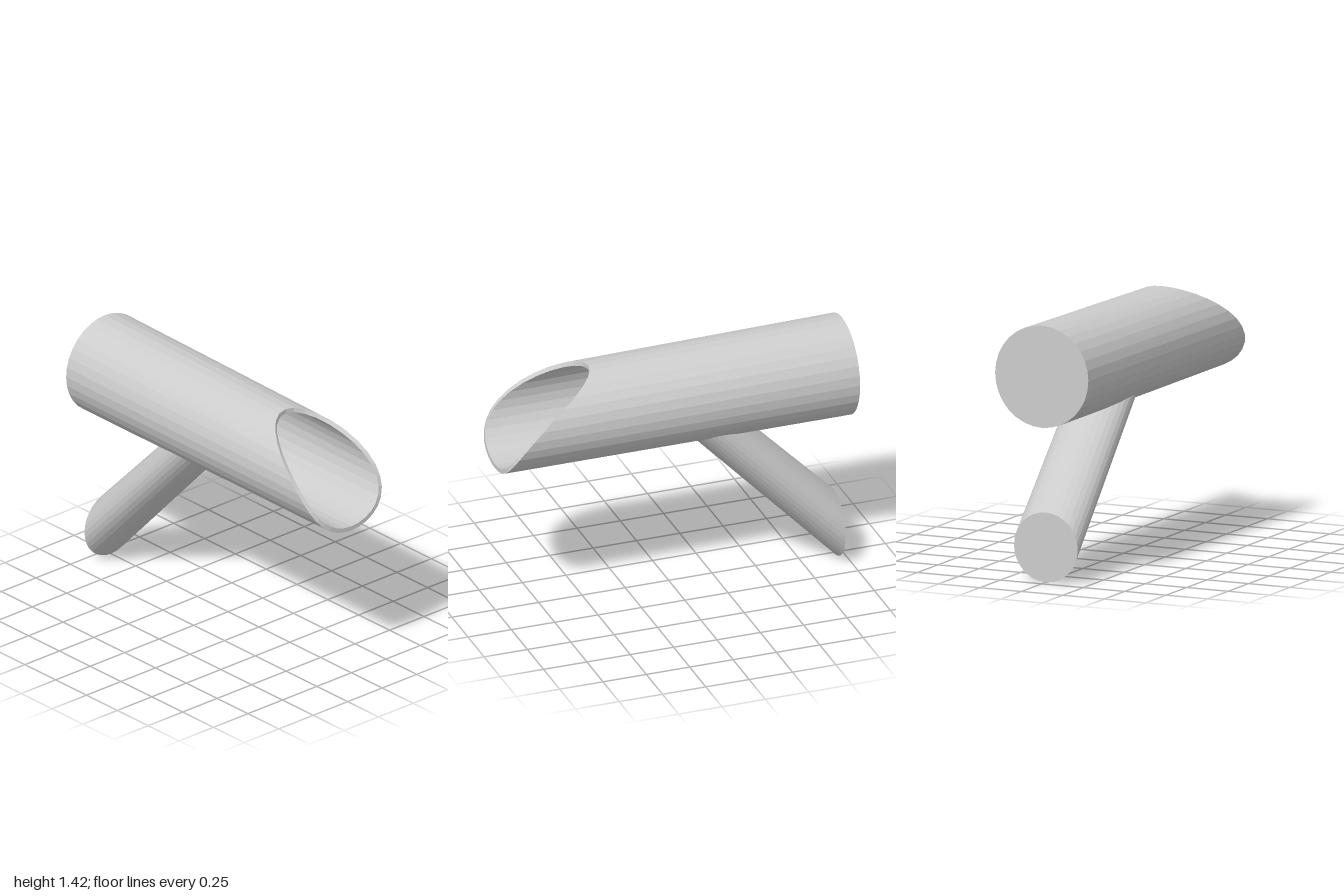
import * as THREE from 'three';

const SIDES = 32;

// Ring of points; fn(cos, sin) gives each [x, y, z]
const ring = (fn) => Array.from({ length: SIDES }, (_, i) => {
  const a = (i / SIDES) * Math.PI * 2;
  return fn(Math.cos(a), Math.sin(a));
});

// Skin consecutive rings with flat facets (a ring shrunk to a point makes a cap)
function loft(rings) {
  const pos = [];
  const same = (p, q) => p.every((v, k) => Math.abs(v - q[k]) < 1e-6);
  const tri = (a, b, c) => {
    if (!same(a, b) && !same(b, c) && !same(a, c)) pos.push(...a, ...b, ...c);
  };
  for (let r = 0; r < rings.length - 1; r++) {
    for (let i = 0; i < SIDES; i++) {
      const j = (i + 1) % SIDES;
      const a = rings[r][i], b = rings[r][j], c = rings[r + 1][j], d = rings[r + 1][i];
      tri(a, b, c);
      tri(a, c, d);
    }
  }
  const geo = new THREE.BufferGeometry();
  geo.setAttribute('position', new THREE.Float32BufferAttribute(pos, 3));
  geo.computeVertexNormals();
  return geo;
}

export function createModel() {
  const group = new THREE.Group();
  const grey = new THREE.MeshStandardMaterial({ color: 0xcccccc });
  grey.name = 'lightGrey';
  const add = (name, geo) => {
    const mesh = new THREE.Mesh(geo, grey);
    mesh.name = name;
    group.add(mesh);
  };

  // Hollow spout: closed at the back, mouth swept back along a curve
  const backY = 1.144, mouthY = 1.13, wall = 0.025;
  const back = (r, z) => ring((c, s) => [r * c, backY + r * s, z]);
  const mouth = (inset) => ring((c, s) => [
    (0.281 - inset) * c,
    mouthY + (0.267 - inset) * s,
    1 - 0.535 * Math.pow((s + 1) / 2, 2.15),
  ]);
  add('spout', loft([
    back(0, -1), back(0.281, -1),
    mouth(0), mouth(wall),
    back(0.281 - wall, -1 + wall), back(0, -1 + wall),
  ]));

  // Slanted branch: upright round end, trimmed to sit inside the spout wall
  const endY = 0.197, endZ = -0.95, endR = 0.192;
  const topY = 1.042, topZ = -0.13, topR = 0.178;
  const branchEnd = (r) => ring((c, s) => [r * c, endY + r * s, endZ]);
  const joint = ring((c, s) => {
    const x = topR * c;
    const hitY = 1.14 - Math.sqrt(0.268 ** 2 - x * x);
    const y0 = endY + endR * s, y1 = topY + topR * s;
    const t = (hitY - y0) / (y1 - y0);
    return [THREE.MathUtils.lerp(endR, topR, t) * c, hitY, THREE.MathUtils.lerp(endZ, topZ, t)];
  });
  add('branch', loft([branchEnd(0), branchEnd(endR), joint]));

  return group;
}
